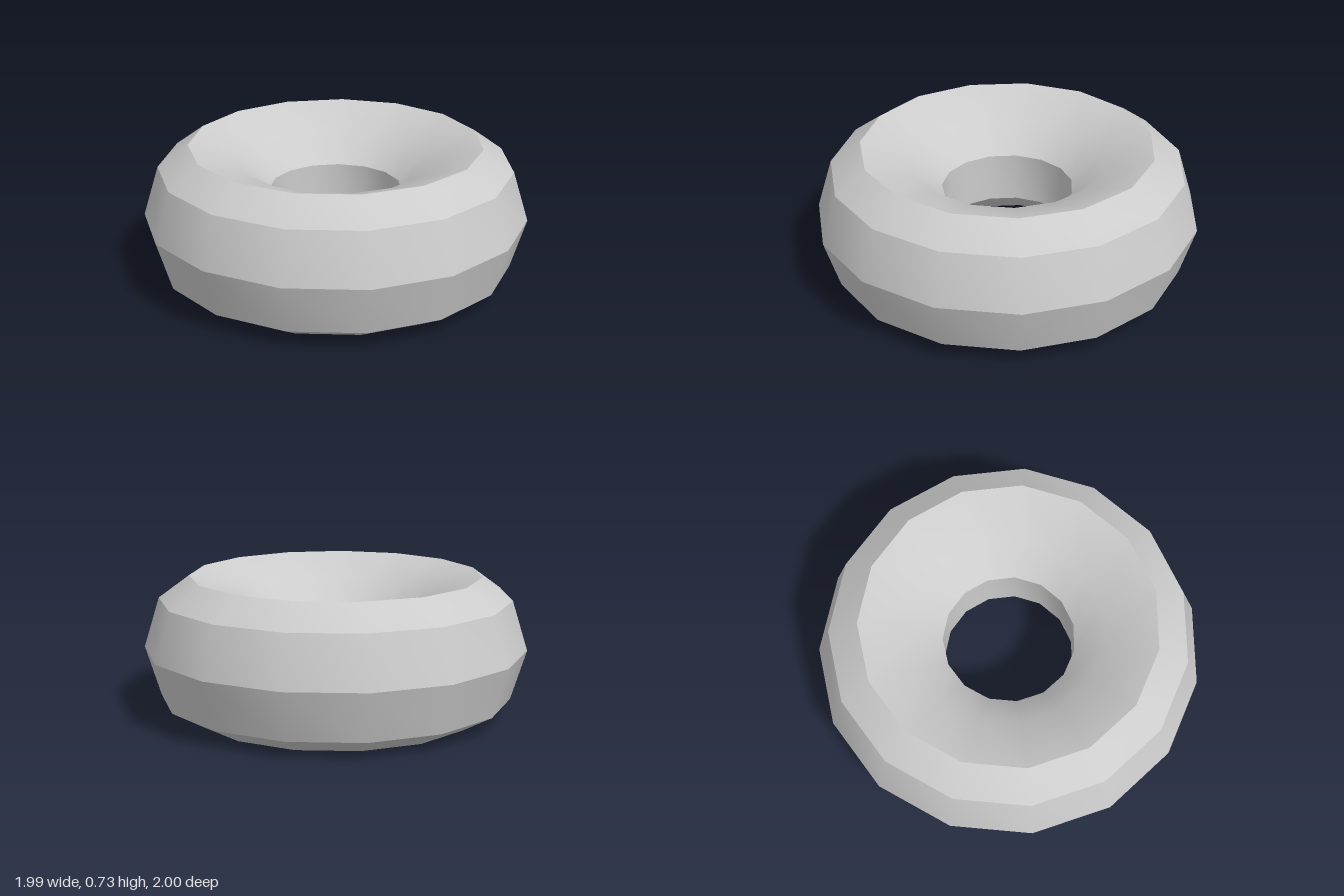
import * as THREE from 'three';
import { toCreasedNormals } from 'three/addons/utils/BufferGeometryUtils.js';

// Cross-section of the ring as [radius, height]
const PROFILE = [
  [0.765, 0], [0.925, 0.09], [1.0055, 0.352], [0.925, 0.613], [0.765, 0.73], // outer tread
  [0.5, 0.635], [0.345, 0.485],                                             // upper funnel
  [0.345, 0.22], [0.5, 0.085], [0.765, 0],                                  // hole wall, lower funnel
];
const SIDES = 15;

export function createModel() {
  const group = new THREE.Group();
  group.name = 'ringModel';

  const points = PROFILE.map(([r, y]) => new THREE.Vector2(r, y));
  // Start at +x so one corner points straight to the side
  const lathe = new THREE.LatheGeometry(points, SIDES, Math.PI / 2);
  // Smooth around the ring, sharp along its main edges
  const geometry = toCreasedNormals(lathe, THREE.MathUtils.degToRad(30));

  const ring = new THREE.Mesh(geometry, new THREE.MeshStandardMaterial({ color: 0xcccccc }));
  ring.name = 'ring';
  ring.position.x = -0.011; // centres the odd-sided outline
  group.add(ring);
  return group;
}
